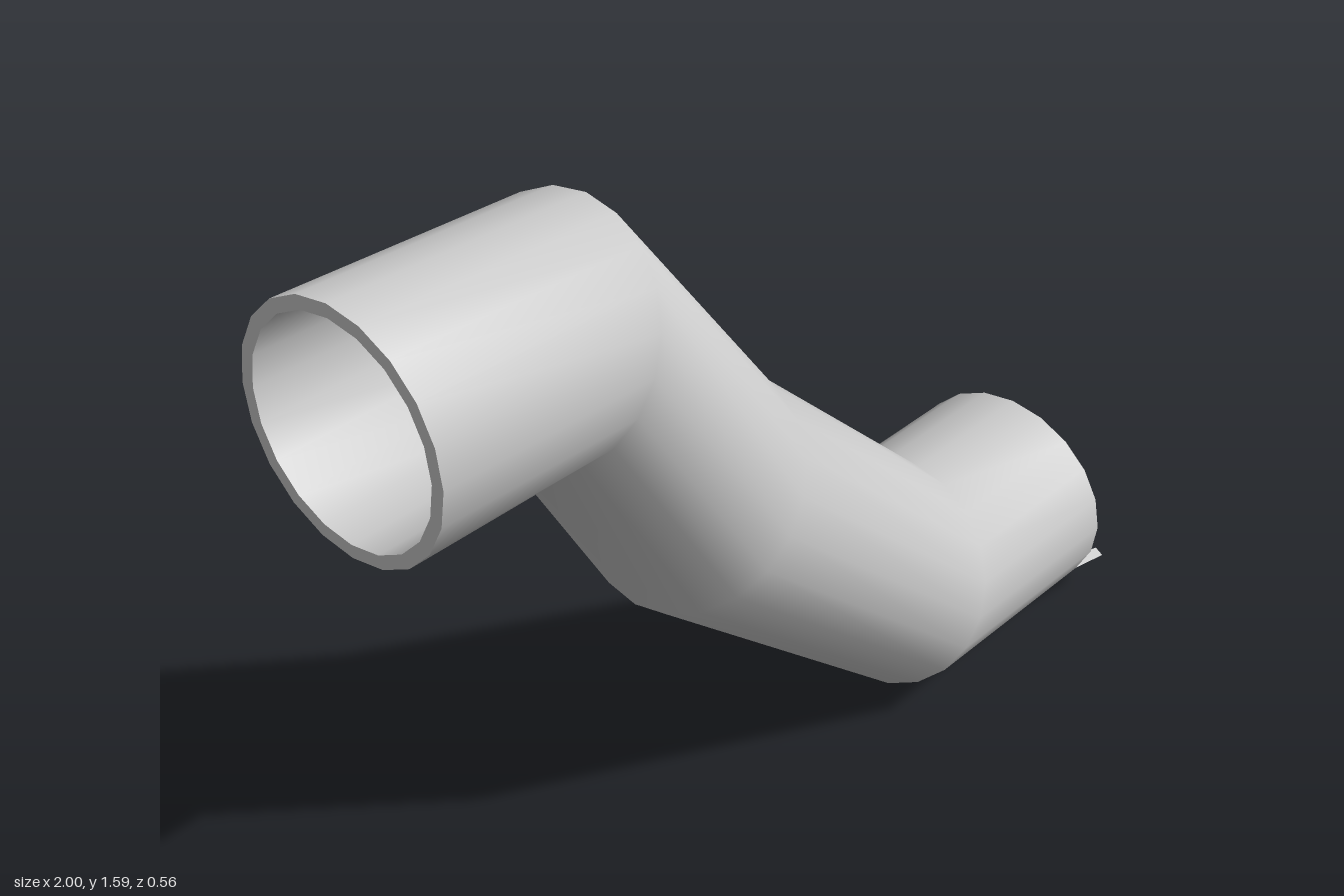
import * as THREE from 'three';
import { mergeGeometries } from 'three/addons/utils/BufferGeometryUtils.js';

const SIDES = 20;
const STEP = (Math.PI * 2) / SIDES;

// Pipe sections: top point, bottom point, z centre, half width, bore ratio
const SECTIONS = [
  { top: [-1, 1.595], bottom: [-1, 1.09], z: -0.033, w: 0.248, bore: 0.89 },
  { top: [-0.41, 1.555], bottom: [-0.61, 1.09], z: -0.03, w: 0.25, bore: 0.89 },
  { top: [-0.01, 1.01], bottom: [-0.35, 0.63], z: -0.002, w: 0.252, bore: 0.88 },
  { top: [0.515, 0.52], bottom: [0.33, 0.055], z: 0.025, w: 0.253, bore: 0.87 },
  { top: [0.86, 0.52], bottom: [0.86, 0.055], z: 0.025, w: 0.253, bore: 0.87 },
];
const LIP_END = { top: [1, 0.465], bottom: [1, 0.005], z: 0.005, w: 0.253, bore: 0.91 };

// Points of an elliptical section, counted in steps from its lowest point
function ring(s, inner, from = 0, to = SIDES - 1) {
  const k = inner ? s.bore : 1;
  const cx = (s.top[0] + s.bottom[0]) / 2;
  const cy = (s.top[1] + s.bottom[1]) / 2;
  const points = [];
  for (let j = from; j <= to; j++) {
    const up = -Math.cos(j * STEP) * k / 2;
    points.push([
      cx + (s.top[0] - s.bottom[0]) * up,
      cy + (s.top[1] - s.bottom[1]) * up,
      s.z + Math.sin(j * STEP) * s.w * k,
    ]);
  }
  return points;
}

// Skin over rows of points; closed joins the last column to the first
function skin(rows, closed) {
  const n = rows[0].length;
  const index = [];
  for (let i = 0; i < rows.length - 1; i++) {
    for (let j = 0; j < (closed ? n : n - 1); j++) {
      const a = i * n + j, b = i * n + ((j + 1) % n);
      index.push(a, a + n, b, b, a + n, b + n);
    }
  }
  const g = new THREE.BufferGeometry();
  g.setAttribute('position', new THREE.Float32BufferAttribute(rows.flat(2), 3));
  g.setIndex(index);
  g.computeVertexNormals();
  return g;
}

export function createModel() {
  const group = new THREE.Group();
  group.name = 'bentPipe';
  const material = new THREE.MeshStandardMaterial({ color: 0xcccccc });
  const add = (name, ...parts) => {
    const mesh = new THREE.Mesh(mergeGeometries(parts), material);
    mesh.name = name;
    group.add(mesh);
  };

  // Walls of the pipe and its bore
  const outer = SECTIONS.map((s) => ring(s, false));
  const inner = SECTIONS.map((s) => ring(s, true));
  const last = SECTIONS.length - 1;
  add('outerWall', skin(outer, true));
  add('innerWall', skin([...inner].reverse(), true));

  // Flat rims at both openings
  add('upperRim', skin([inner[0], outer[0]], true));
  add('lowerRim', skin([outer[last], inner[last]], true));

  // Spout lip along the lower part of the outlet
  const A = ring(SECTIONS[last], false, -3, 3), a = ring(SECTIONS[last], true, -3, 3);
  const B = ring(LIP_END, false, -3, 3), b = ring(LIP_END, true, -3, 3);
  add('spoutLip',
    skin([A, B]),
    skin([b, a]),
    skin([B, b]),
    skin([[A[6], a[6]], [B[6], b[6]]]),
    skin([[B[0], b[0]], [A[0], a[0]]]));

  return group;
}
